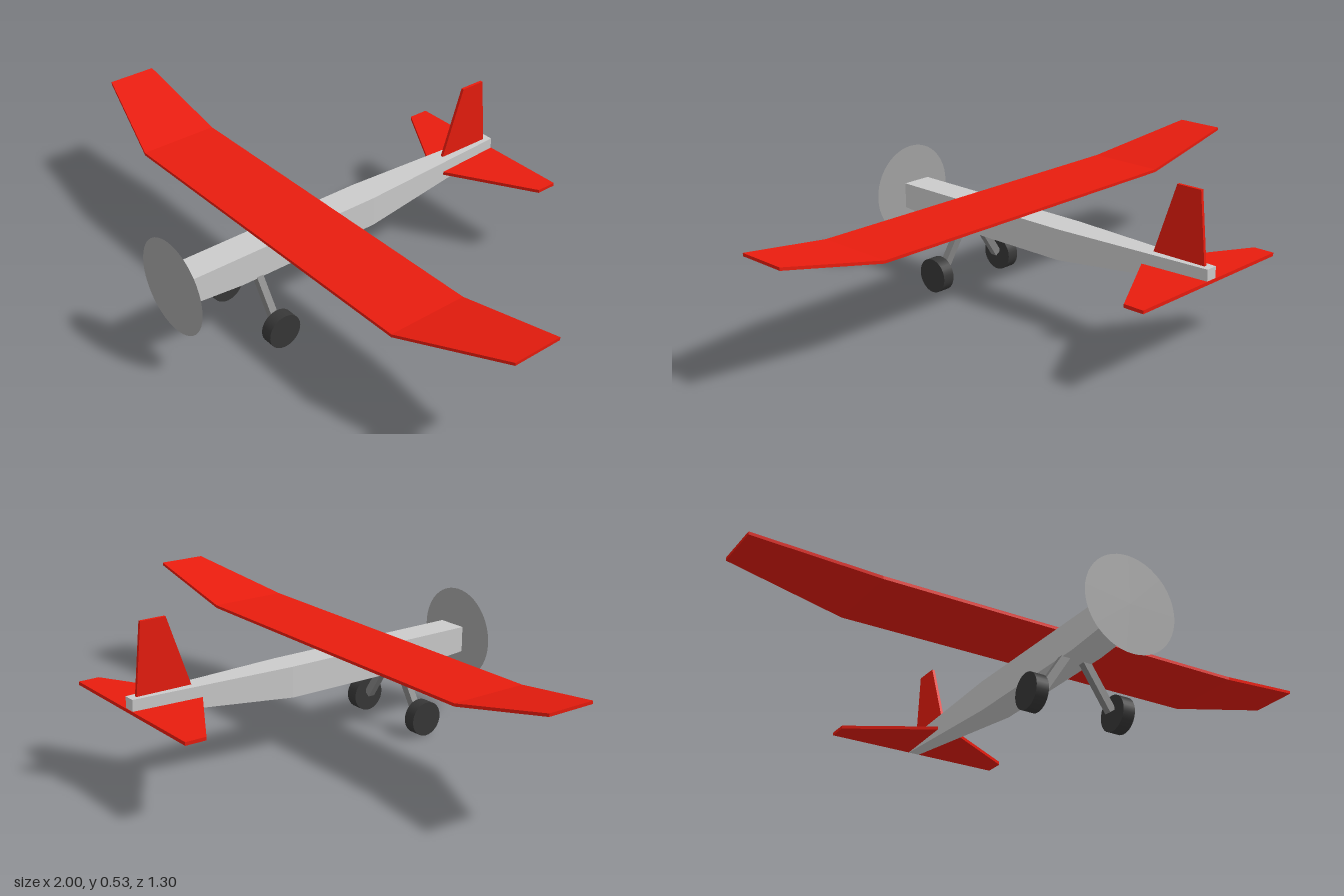
import * as THREE from 'three';

const material = (color, side = THREE.FrontSide) =>
  new THREE.MeshStandardMaterial({ color, side, flatShading: true });

// Closed, flat-sided solid through a row of four-cornered cross-sections
function loft(rings) {
  const pos = [];
  const quad = (a, b, c, d) => pos.push(...a, ...b, ...c, ...a, ...c, ...d);
  for (let i = 0; i < rings.length - 1; i++) {
    for (let j = 0; j < 4; j++) {
      const k = (j + 1) % 4;
      quad(rings[i][j], rings[i][k], rings[i + 1][k], rings[i + 1][j]);
    }
  }
  quad(...rings[rings.length - 1]);
  quad(...[...rings[0]].reverse());
  const geometry = new THREE.BufferGeometry();
  geometry.setAttribute('position', new THREE.Float32BufferAttribute(pos, 3));
  geometry.computeVertexNormals();
  return geometry;
}

// Cross-sections facing along z, x and y
const ringZ = (z, w, lo, hi) => [[w, lo, z], [w, hi, z], [-w, hi, z], [-w, lo, z]];
const ringX = (x, y, t, back, front) =>
  [[x, y, back], [x, y + t, back], [x, y + t, front], [x, y, front]];
const ringY = (y, w, back, front) =>
  [[w, y, front], [w, y, back], [-w, y, back], [-w, y, front]];

export function createModel() {
  const model = new THREE.Group();
  const grey = material(0xcccccc);
  const red = material(0xe81c0e);
  const darkGrey = material(0x828282);
  const black = material(0x373737);
  black.flatShading = false;
  const propGrey = material(0xa2a2a2, THREE.DoubleSide);
  propGrey.flatShading = false;

  const add = (name, geometry, mat, x = 0, y = 0, z = 0) => {
    const mesh = new THREE.Mesh(geometry, mat);
    mesh.name = name;
    mesh.position.set(x, y, z);
    model.add(mesh);
    return mesh;
  };

  // Fuselage: flat top, belly rising to nose and tail
  add('fuselage', loft([
    ringZ(-0.648, 0.02, 0.25, 0.299),
    ringZ(-0.09, 0.052, 0.196, 0.299),
    ringZ(0.43, 0.052, 0.196, 0.299),
    ringZ(0.627, 0.052, 0.212, 0.299),
  ]), grey);

  // Wing with upswept, tapered tips
  add('wing', loft([
    ringX(-1, 0.385, 0.01, 0.065, 0.234),
    ringX(-0.63, 0.304, 0.01, 0.065, 0.338),
    ringX(0.63, 0.304, 0.01, 0.065, 0.338),
    ringX(1, 0.385, 0.01, 0.065, 0.234),
  ]), red);

  // Tailplane
  add('tailplane', loft([
    ringX(-0.316, 0.251, 0.011, -0.65, -0.58),
    ringX(-0.022, 0.251, 0.011, -0.65, -0.407),
    ringX(0.022, 0.251, 0.011, -0.65, -0.407),
    ringX(0.316, 0.251, 0.011, -0.65, -0.58),
  ]), red);

  // Fin
  add('fin', loft([
    ringY(0.297, 0.005, -0.625, -0.435),
    ringY(0.528, 0.005, -0.603, -0.517),
  ]), red);

  // Propeller hub and spinning disc
  const hub = add('propellerHub', new THREE.CylinderGeometry(0.021, 0.021, 0.023, 20),
    propGrey, 0, 0.258, 0.637);
  hub.rotation.x = Math.PI / 2;
  add('propellerDisc', new THREE.CircleGeometry(0.158, 48), propGrey, 0, 0.262, 0.649);

  // Landing gear, one leg and wheel per side
  for (const [side, s] of [['left', 1], ['right', -1]]) {
    const top = new THREE.Vector2(0.035 * s, 0.203);
    const foot = new THREE.Vector2(0.127 * s, 0.062);
    const leg = add(side + 'Leg', new THREE.BoxGeometry(0.026, top.distanceTo(foot), 0.024),
      darkGrey, (top.x + foot.x) / 2, (top.y + foot.y) / 2, 0.366);
    leg.rotation.z = Math.atan2(foot.x - top.x, top.y - foot.y);
    const wheel = add(side + 'Wheel', new THREE.CylinderGeometry(0.058, 0.058, 0.042, 32),
      black, 0.153 * s, 0.058, 0.366);
    wheel.rotation.z = Math.PI / 2;
  }

  return model;
}
